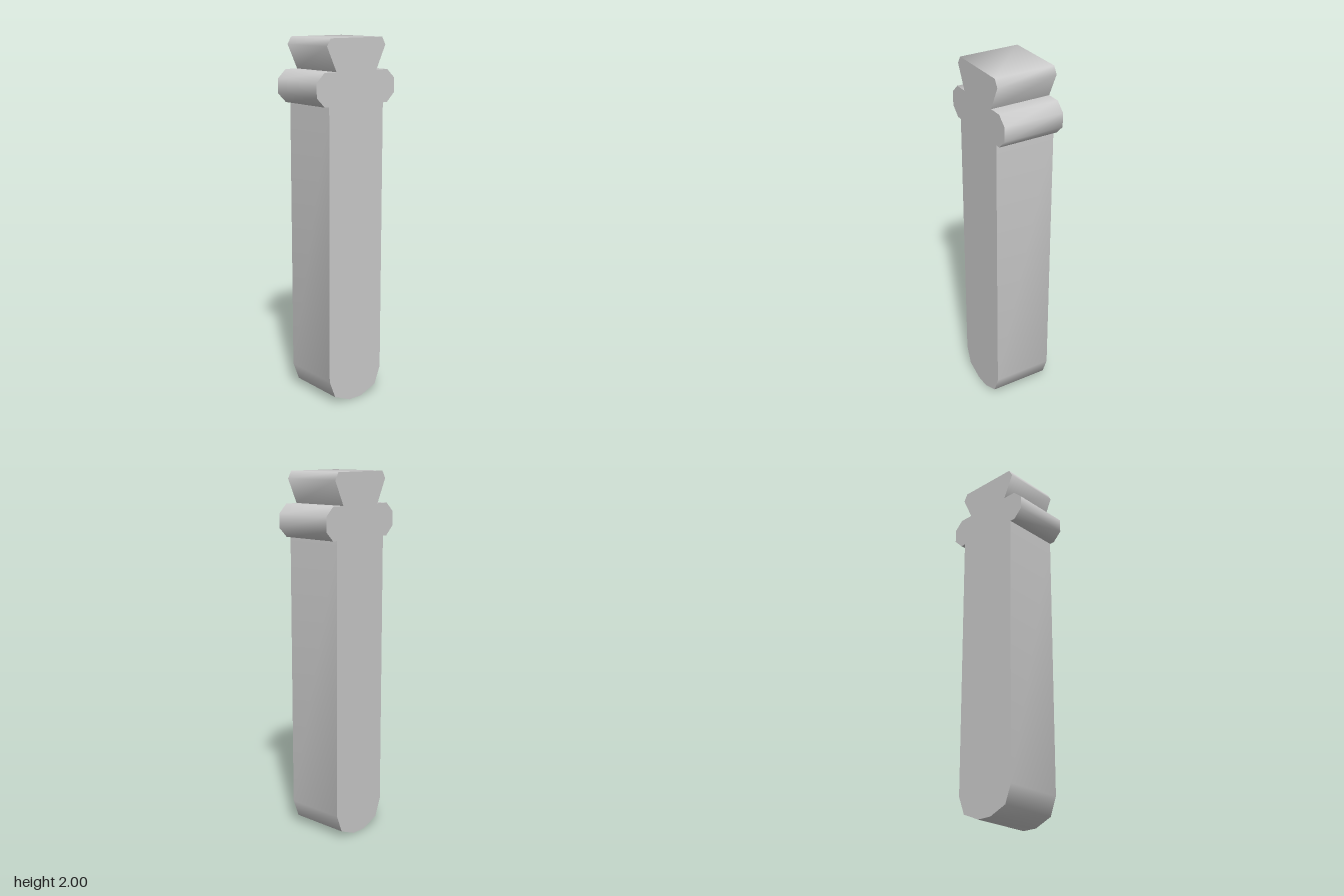
import * as THREE from 'three';
import { toCreasedNormals } from 'three/addons/utils/BufferGeometryUtils.js';

const DEPTH = 0.338;

// Right half of the outline, from the bottom tip to the top of the head
const HALF = [
  [0.043, 0], [0.145, 0.043], [0.183, 0.143],           // rounded tip
  [0.183, 1.655], [0.212, 1.655],                       // shaft side, collar underside
  [0.263, 1.705], [0.263, 1.782], [0.212, 1.83],        // collar
  [0.135, 1.83], [0.196, 1.96], [0.173, 2],             // dovetail head
];

export function createModel() {
  const group = new THREE.Group();
  group.name = 'dovetailPeg';

  // Mirror the half outline to close the shape
  const mirrored = HALF.map(([x, y]) => [-x, y]).reverse();
  const shape = new THREE.Shape([...HALF, ...mirrored].map(([x, y]) => new THREE.Vector2(x, y)));

  const solid = new THREE.ExtrudeGeometry(shape, { depth: DEPTH, bevelEnabled: false });
  solid.translate(0, 0, -DEPTH / 2);

  // Soften the chamfers, keep the faces and inner corners sharp
  const geometry = toCreasedNormals(solid, THREE.MathUtils.degToRad(62));
  const peg = new THREE.Mesh(geometry, new THREE.MeshStandardMaterial({ color: 0xcccccc }));
  peg.name = 'pegBody';
  group.add(peg);

  return group;
}
